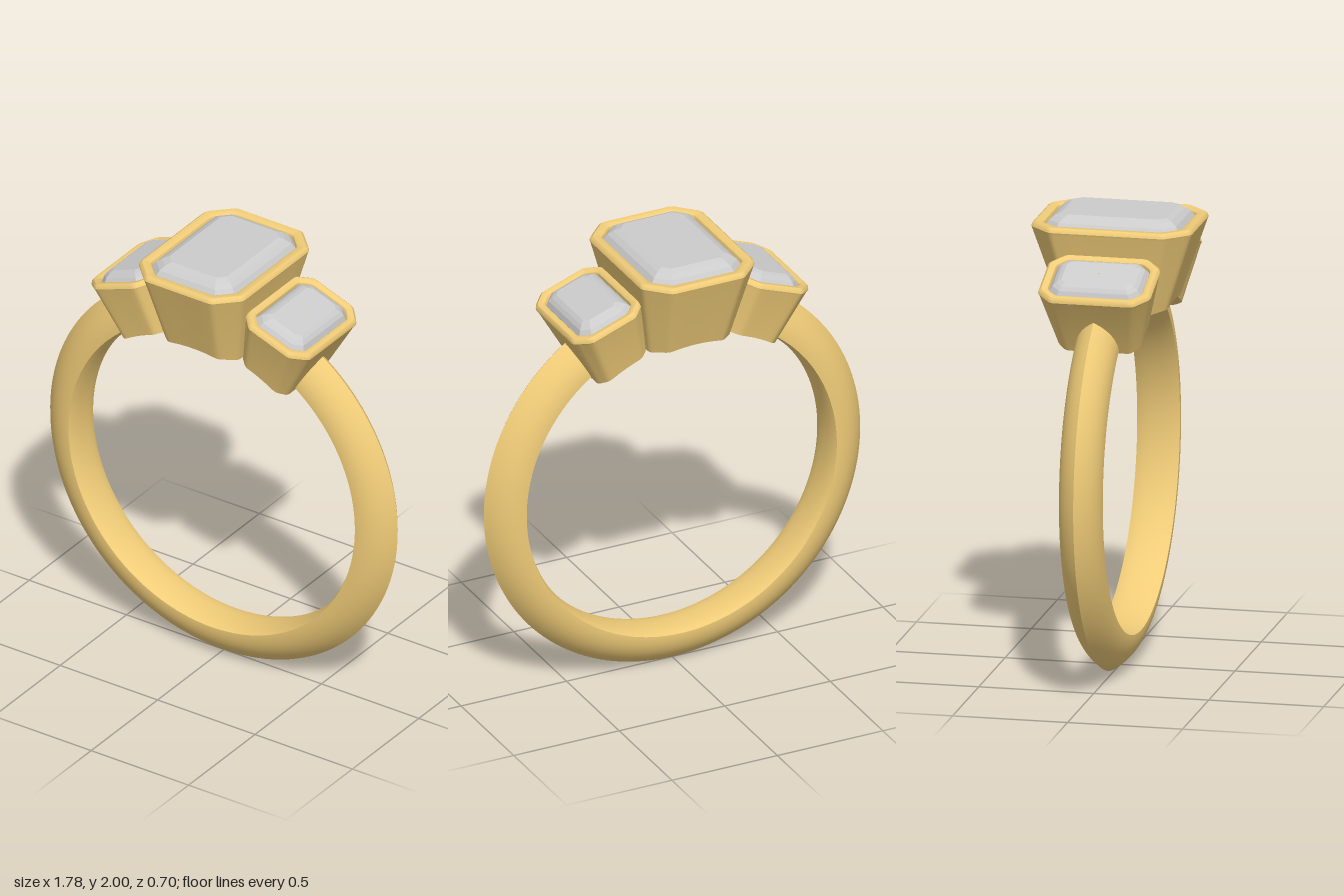
import * as THREE from 'three';
import { toCreasedNormals } from 'three/addons/utils/BufferGeometryUtils.js';

const CENTRE_Y = 0.893, INNER_R = 0.72, SHANK_END = THREE.MathUtils.degToRad(34.5);
const gold = new THREE.MeshStandardMaterial({ color: 0xf0cc78 });
const stone = new THREE.MeshStandardMaterial({ color: 0xcccccc, flatShading: true });

// Octagon outline at height y, with optional softened corners and divided edges
function octagon([hx, hz, c, y], soft, divisions) {
  const corners = [[hx, hz - c], [hx, c - hz], [hx - c, -hz], [c - hx, -hz],
    [-hx, c - hz], [-hx, hz - c], [c - hx, hz], [hx - c, hz]]
    .map(([x, z]) => new THREE.Vector3(x, y, z));
  if (!soft) return corners;
  const out = [];
  corners.forEach((p, i) => {
    const prev = corners[(i + 7) % 8], next = corners[(i + 1) % 8], after = corners[(i + 2) % 8];
    const toward = (a, b) => a.clone().add(b.clone().sub(a).setLength(soft));
    const arc = new THREE.QuadraticBezierCurve3(toward(p, prev), p, toward(p, next));
    out.push(...arc.getPoints(3));
    const end = toward(p, next), start = toward(next, p);
    if (after) for (let k = 1; k < divisions; k++) out.push(end.clone().lerp(start, k / divisions));
  });
  return out;
}

// Skin a stack of equal-length loops; closed joins the last loop to the first
function loft(loops, closed) {
  const n = loops[0].length, index = [];
  const rows = closed ? loops.length : loops.length - 1;
  for (let i = 0; i < rows; i++) {
    const next = (i + 1) % loops.length;
    for (let j = 0; j < n; j++) {
      const k = (j + 1) % n;
      const a = i * n + j, b = i * n + k, c = next * n + k, d = next * n + j;
      index.push(a, b, c, a, c, d);
    }
  }
  const g = new THREE.BufferGeometry().setFromPoints(loops.flat());
  g.setIndex(index);
  return g;
}

function mesh(name, geometry, material) {
  const m = new THREE.Mesh(geometry, material);
  m.name = name;
  return m;
}

// Hollow bezel cup and step-cut gem; y = 0 is the rim, tilted and moved into place
function makeSetting(name, o) {
  const { hx, hz, c, bx, bz, depth, wall, k, x, y, tilt } = o;
  const place = new THREE.Matrix4().makeRotationZ(tilt).setPosition(x, y, 0);
  const inset = (d, h) => [hx - d, hz - d, c - d * 0.55, h];
  const bottomC = c * 0.65;
  const rows = [
    [bx, bz, bottomC, -depth],
    inset(0.004, -0.03), inset(0, -0.02), inset(0.004, -0.008), inset(0.014, 0),
    inset(wall - 0.016, 0), inset(wall - 0.005, -0.007), inset(wall, -0.02), inset(wall + 0.004, -0.06),
    [bx * 0.6, bz * 0.65, bottomC * 0.7, -depth],
  ];
  const cup = loft(rows.map(r => octagon(r, 0.016, 5)), true).applyMatrix4(place);

  // Trim the underside to the finger hole
  const p = cup.attributes.position;
  for (let i = 0; i < p.count; i++) {
    const px = p.getX(i), py = p.getY(i) - CENTRE_Y, r = Math.hypot(px, py);
    if (r < INNER_R) p.setXY(i, px * INNER_R / r, CENTRE_Y + py * INNER_R / r);
  }

  // Gem from keel, through the girdle, to the table
  const step = (d, h) => [hx - wall - d * k, hz - wall - d * k, c * 0.62 - d * k * 0.4, h * k];
  const gemRows = [
    [0.002, hz - hx, 0.0005, -0.17 * k], step(0.09, -0.12), step(0.03, -0.07), step(0, -0.04), step(0, -0.025),
    step(0.02, 0.005), step(0.042, 0.022), step(0.068, 0.034), [0.002, 0.002, 0.0005, 0.034 * k],
  ];
  const gem = loft(gemRows.map(r => octagon(r, 0)), false).applyMatrix4(place).toNonIndexed();
  gem.computeVertexNormals();

  const group = new THREE.Group();
  group.name = name;
  group.add(mesh('bezel', toCreasedNormals(cup, 0.6), gold), mesh('gem', gem, stone));
  return group;
}

// Knife-edged shank, open where the settings sit
function makeShank() {
  const half = 0.093;
  const outer = new THREE.QuadraticBezierCurve(
    new THREE.Vector2(0.745, -half), new THREE.Vector2(0.835, -0.088), new THREE.Vector2(0.892, 0)).getPoints(10);
  const inner = new THREE.QuadraticBezierCurve(
    new THREE.Vector2(0.735, half), new THREE.Vector2(INNER_R, 0.06), new THREE.Vector2(INNER_R, 0)).getPoints(6);
  const flip = pts => pts.slice(0, -1).reverse().map(v => new THREE.Vector2(v.x, -v.y));
  const profile = [...outer, ...flip(outer), ...inner, ...flip(inner), outer[0].clone()];
  const sweep = 2 * (Math.PI - SHANK_END);
  const g = new THREE.LatheGeometry(profile, 128, -sweep / 2, sweep);
  g.rotateX(Math.PI / 2).translate(0, CENTRE_Y, 0);
  return mesh('shank', toCreasedNormals(g, 0.6), gold);
}

export function createModel() {
  const ring = new THREE.Group();
  ring.name = 'threeStoneRing';
  ring.add(makeShank());
  ring.add(makeSetting('centreSetting', {
    hx: 0.27, hz: 0.35, c: 0.1, bx: 0.19, bz: 0.235, depth: 0.383, wall: 0.054, k: 1, x: 0, y: 1.966, tilt: 0,
  }));
  for (const s of [1, -1]) {
    ring.add(makeSetting(s > 0 ? 'leftSetting' : 'rightSetting', {
      hx: 0.175, hz: 0.245, c: 0.066, bx: 0.125, bz: 0.183, depth: 0.3, wall: 0.045, k: 0.75,
      x: s * 0.402, y: 1.795, tilt: -s * THREE.MathUtils.degToRad(20),
    }));
  }
  return ring;
}
